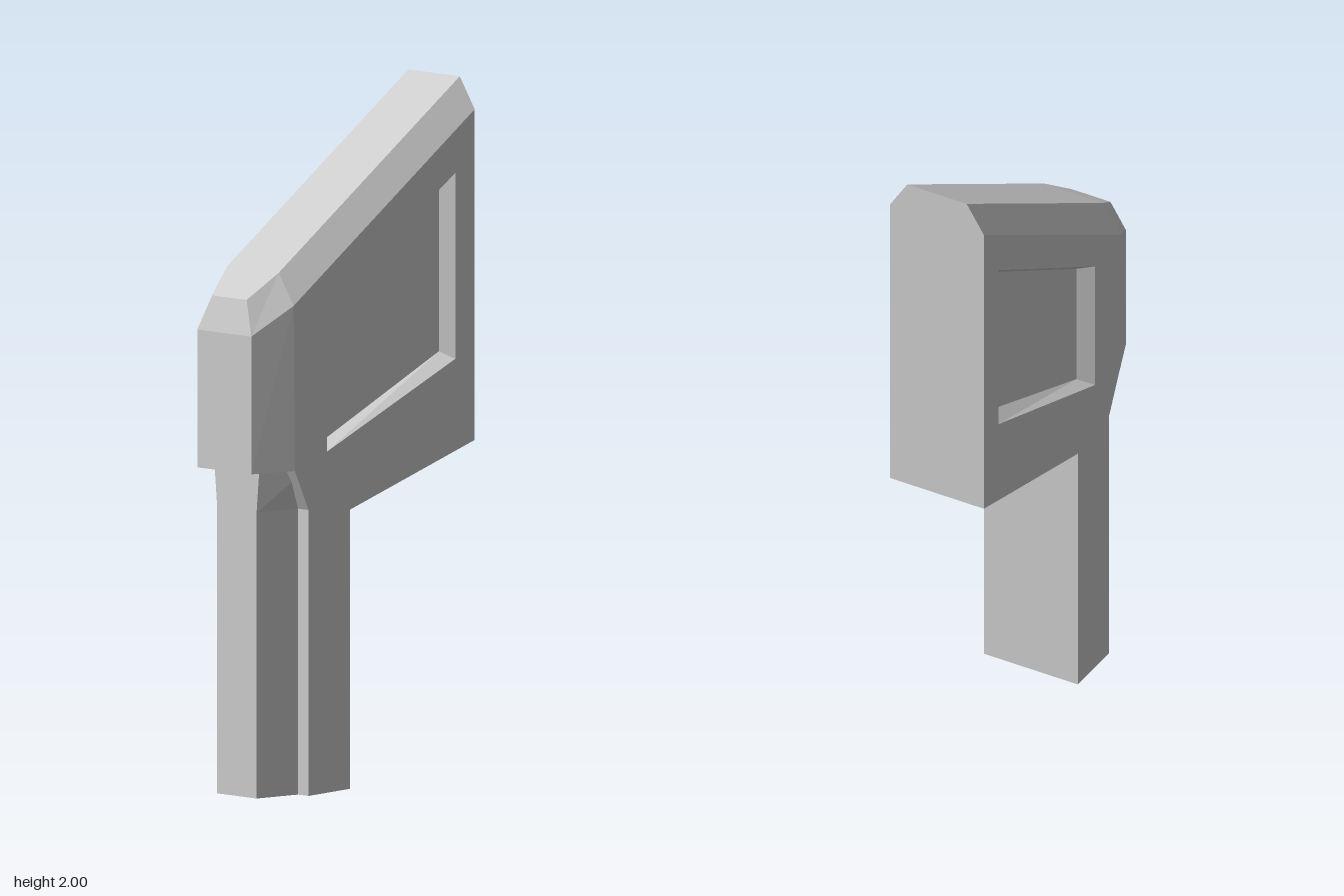
import * as THREE from 'three';

// Collects planar faces and turns them into one flat-shaded mesh.
class Faces {
  constructor() { this.tris = []; }
  poly(pts) {
    for (let i = 1; i < pts.length - 1; i++) this.tris.push(...pts[0], ...pts[i], ...pts[i + 1]);
  }
  // the same face on both the front and the back
  pair(pts) {
    this.poly(pts);
    this.poly(pts.map(([x, y, z]) => [x, y, -z]).reverse());
  }
  // span from +z to -z between two profile points [x, y, halfDepth]
  across(a, b) {
    const back = ([x, y, z]) => [x, y, -z];
    this.poly([a, back(a), back(b), b]);
  }
  mesh(name) {
    const g = new THREE.BufferGeometry();
    g.setAttribute('position', new THREE.Float32BufferAttribute(this.tris, 3));
    g.computeVertexNormals();
    const m = new THREE.Mesh(g, new THREE.MeshStandardMaterial({ color: 0xcccccc, flatShading: true }));
    m.name = name;
    return m;
  }
}

const D = 0.155; // half depth of the body
const at = (pts, z) => pts.map(([x, y]) => [x, y, z]);

function buildBody() {
  const f = new Faces();

  // rim of the whole body, anticlockwise, with the half depth at each corner
  const rim = [
    [-0.27, 0, D], [-0.09, 0, D], [-0.09, 0.81, D], [0.455, 0.95, D],
    [0.455, 1.91, D], [0.455, 2, 0.098], [-0.335, 1.52, 0.098], [-0.437, 1.45, 0.065],
    [-0.46, 1.35, 0.103], [-0.46, 0.95, 0.103], [-0.33, 0.95, D], [-0.27, 0.83, D],
  ];
  rim.forEach((p, i) => f.across(p, rim[(i + 1) % rim.length]));

  // flat side with the opening of the recess
  const side = [[-0.27, 0], [-0.09, 0], [-0.09, 0.81], [0.455, 0.95], [0.455, 1.91],
    [-0.335, 1.43], [-0.33, 0.95], [-0.27, 0.83]];
  const opening = [[-0.19, 0.99], [0.37, 1.195], [0.37, 1.735], [-0.19, 1.406]];
  const floor = [[-0.16, 1.013], [0.35, 1.215], [0.35, 1.70], [-0.16, 1.40]];
  const shape = new THREE.Shape(side.map(p => new THREE.Vector2(...p)));
  shape.holes.push(new THREE.Path(opening.map(p => new THREE.Vector2(...p))));
  const flat = new THREE.ShapeGeometry(shape).toNonIndexed().attributes.position;
  for (let i = 0; i < flat.count; i += 3) {
    f.pair([0, 1, 2].map(k => [flat.getX(i + k), flat.getY(i + k), D]));
  }

  // recess walls and floor
  const outer = at(opening, D), inner = at(floor, D - 0.045);
  outer.forEach((p, i) => {
    const j = (i + 1) % 4;
    f.pair([p, outer[j], inner[j], inner[i]]);
  });
  f.pair(inner);

  // long top bevel, slanted nose side and nose bevel
  f.pair([[-0.335, 1.43, D], rim[4], rim[5], rim[6]]);
  f.pair([rim[9], rim[10], [-0.335, 1.43, D], rim[8]]);
  f.pair([rim[8], [-0.335, 1.43, D], rim[6], rim[7]]);
  return f.mesh('body');
}

// narrower tapered rail along the stem, flaring where it meets the head
function buildRail() {
  const f = new Faces();
  const x0 = -0.405, x1 = -0.27;
  const levels = [[0, 0.075, 0.115], [0.83, 0.075, 0.115], [0.95, 0.085, 0.15]];
  const rings = levels.map(([y, a, b]) => [[x0, y, a], [x1, y, b]]);
  for (let i = 0; i < 2; i++) {
    const [a, b] = rings[i], [c, d] = rings[i + 1];
    f.pair([a, b, d, c]);
    f.across(c, a);
  }
  f.across(...rings[0]);
  return f.mesh('stemRail');
}

export function createModel() {
  const group = new THREE.Group();
  group.name = 'model';
  group.add(buildBody(), buildRail());
  return group;
}
